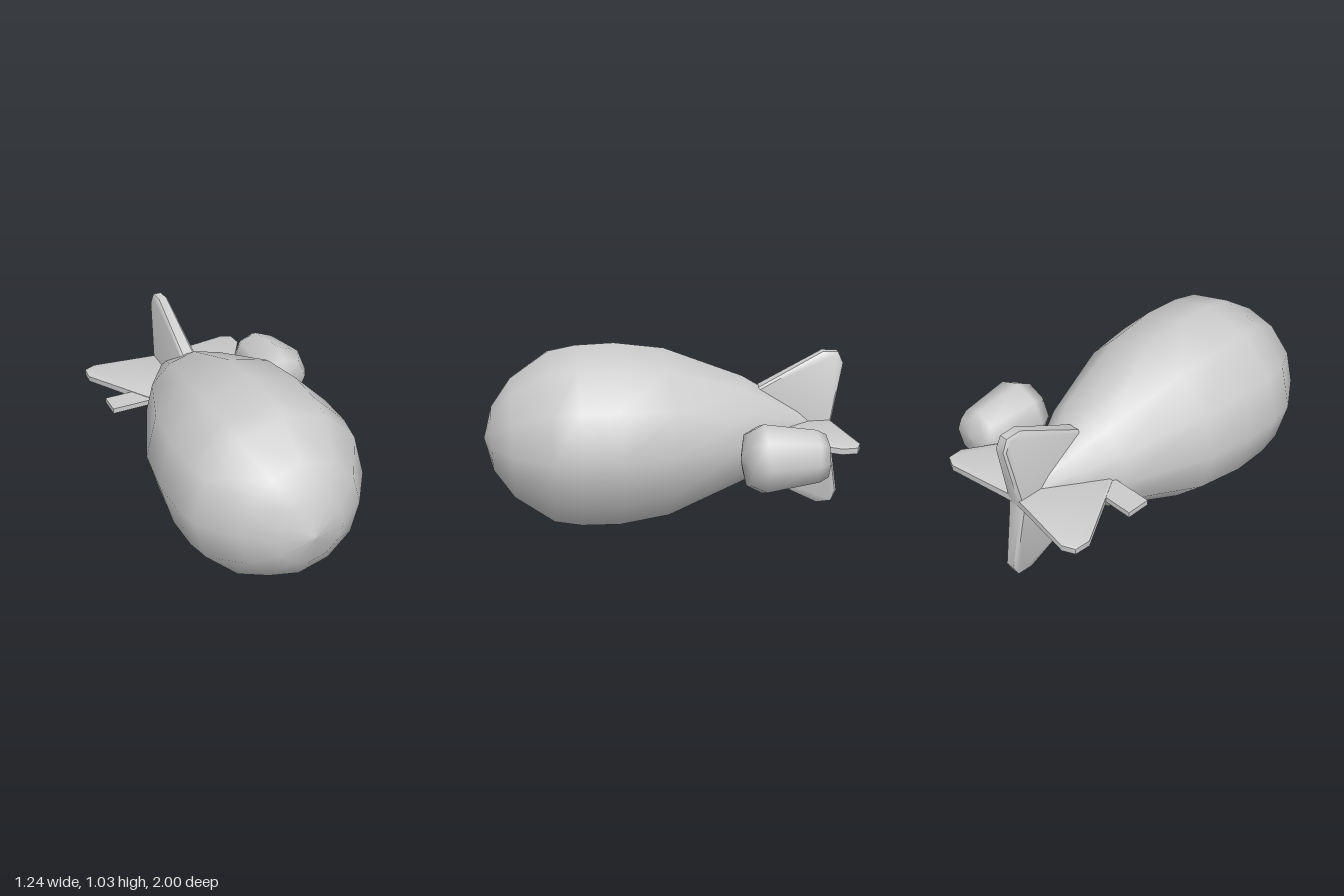
import * as THREE from 'three';
import { toCreasedNormals } from 'three/addons/utils/BufferGeometryUtils.js';

const material = new THREE.MeshStandardMaterial({ color: 0xcccccc });
const AXIS_X = -0.105;
const AXIS_Y = 0.513;

function addMesh(group, name, geometry, x, y, z = 0) {
  const mesh = new THREE.Mesh(geometry, material);
  mesh.name = name;
  mesh.position.set(x, y, z);
  group.add(mesh);
  return mesh;
}

// Turned form along z, from [radius, z] pairs running back to front
function turned(profile, sides) {
  const points = profile.map(([r, z]) => new THREE.Vector2(r, z));
  return new THREE.LatheGeometry(points, sides).rotateX(Math.PI / 2);
}

// Fin lying flat and pointing to +x, thinning from root to tip
function finGeometry(outline, rootThickness, tipThickness) {
  const shape = new THREE.Shape(outline.map(([r, z]) => new THREE.Vector2(r, z)));
  const geometry = new THREE.ExtrudeGeometry(shape, {
    depth: 0.7, bevelEnabled: true, bevelSegments: 1,
    bevelThickness: 0.15, bevelSize: 0.012, bevelOffset: -0.012,
  });
  geometry.translate(0, 0, -0.35);
  const p = geometry.attributes.position;
  const span = Math.max(...outline.map(([r]) => r));
  for (let i = 0; i < p.count; i++) {
    const t = THREE.MathUtils.clamp(p.getX(i) / span, 0, 1);
    p.setZ(i, p.getZ(i) * THREE.MathUtils.lerp(rootThickness, tipThickness, t));
  }
  geometry.rotateX(Math.PI / 2);
  return toCreasedNormals(geometry, 0.7);
}

export function createModel() {
  const model = new THREE.Group();
  model.name = 'airship';

  // Twelve-sided teardrop hull
  const hull = turned([
    [0, -0.9], [0.055, -0.82], [0.175, -0.63], [0.3, -0.43], [0.475, 0.01],
    [0.513, 0.28], [0.507, 0.49], [0.48, 0.635], [0.335, 0.845], [0.18, 0.953], [0, 1],
  ], 12);
  addMesh(model, 'hull', hull, AXIS_X, AXIS_Y);

  // Four tail fins, the upright pair thicker than the level pair
  const outline = (s) => [
    [0, -0.6], [0.24, -0.48], [s, -0.88], [s - 0.005, -0.965], [s - 0.07, -0.995], [0, -0.93],
  ];
  const levelFin = finGeometry(outline(0.485), 0.06, 0.045);
  const uprightFin = finGeometry(outline(0.452), 0.116, 0.065);
  ['leftFin', 'topFin', 'rightFin', 'bottomFin'].forEach((name, i) => {
    const upright = i % 2 === 1;
    const fin = addMesh(model, name, upright ? uprightFin : levelFin, AXIS_X, upright ? 0.49 : 0.52);
    fin.rotation.z = i * Math.PI / 2;
  });

  // Flat struts on both sides
  for (const side of [1, -1]) {
    const strut = new THREE.BoxGeometry(0.4, 0.03, 0.13);
    addMesh(model, side > 0 ? 'leftStrut' : 'rightStrut', strut, AXIS_X + side * 0.28, 0.52, -0.545);
  }

  // Eight-sided engine pod on the left strut
  const pod = turned([
    [0, -0.785], [0.12, -0.772], [0.147, -0.72], [0.19, -0.44], [0.145, -0.357], [0, -0.325],
  ], 8);
  addMesh(model, 'enginePod', pod, 0.427, 0.52);

  return model;
}
